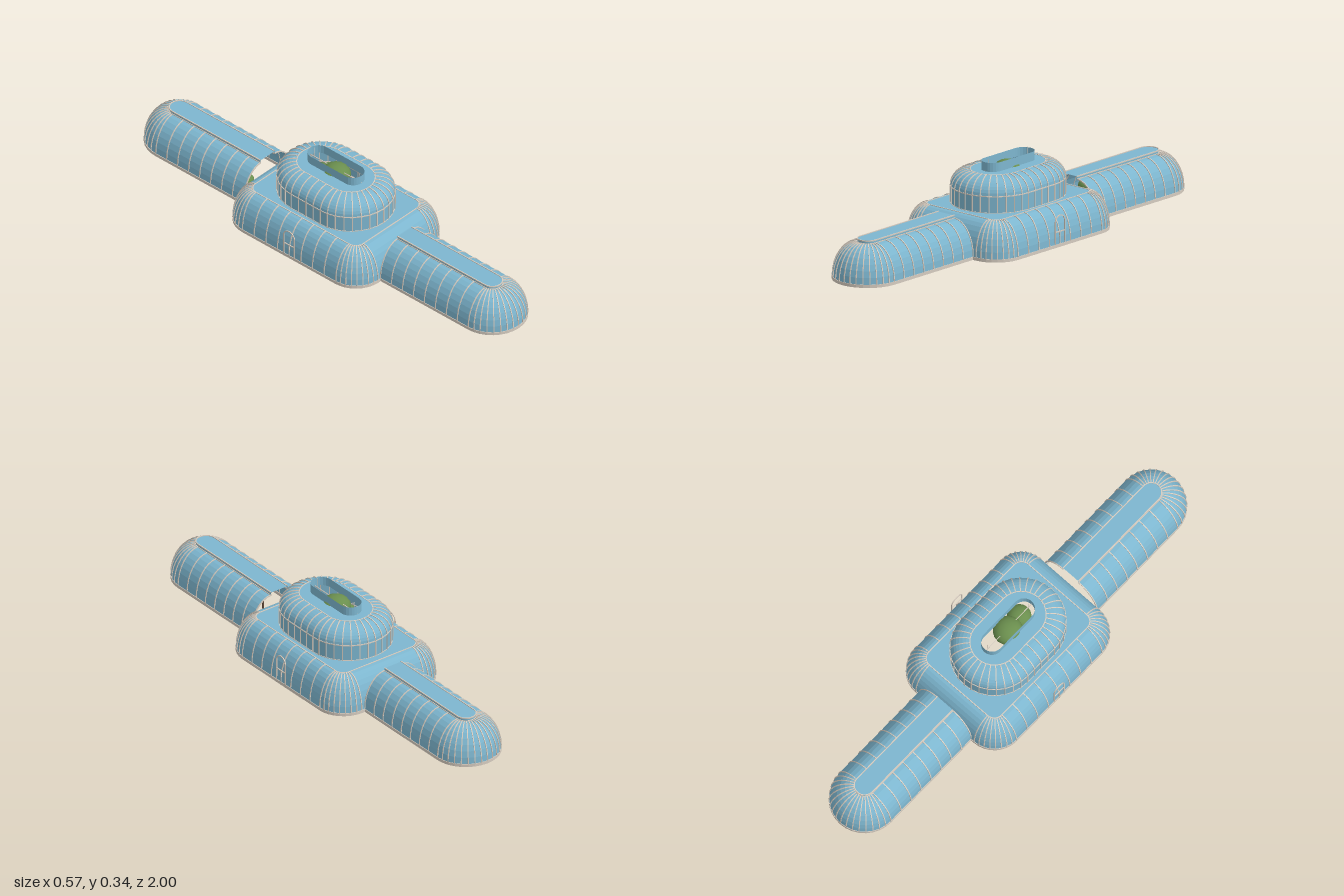
import * as THREE from 'three';
import { mergeGeometries } from 'three/addons/utils/BufferGeometryUtils.js';

const glass = new THREE.MeshStandardMaterial({ color: 0x7db6cf, side: THREE.DoubleSide });
glass.name = 'blue glass';
const frame = new THREE.MeshStandardMaterial({ color: 0xd6ccc0, side: THREE.DoubleSide });
frame.name = 'cream frame';
const leaf = new THREE.MeshStandardMaterial({ color: 0x6b8f4e });
leaf.name = 'leaf green';
const bark = new THREE.MeshStandardMaterial({ color: 0x5e4636 });
bark.name = 'bark brown';

function add(parent, name, geometry, material) {
  const mesh = new THREE.Mesh(geometry, material);
  mesh.name = name;
  parent.add(mesh);
  return mesh;
}

// Stations round a rounded rectangle: position (x, z) and outward direction (nx, nz)
function roundedLoop(hx, hz, r, cornerSegs, baysX, baysZ) {
  const list = [];
  const signs = [[1, 1], [-1, 1], [-1, -1], [1, -1]];
  signs.forEach(([sx, sz], k) => {
    const cx = sx * (hx - r), cz = sz * (hz - r);
    for (let i = 0; i <= cornerSegs; i++) {
      const a = (k + i / cornerSegs) * Math.PI / 2;
      const nx = Math.cos(a), nz = Math.sin(a);
      list.push({ x: cx + r * nx, z: cz + r * nz, nx, nz });
    }
    const length = 2 * (k % 2 ? hz - r : hx - r), bays = k % 2 ? baysZ : baysX;
    const last = list[list.length - 1];
    if (length < 1e-4) list.pop();
    else for (let i = 1; i < bays; i++) {
      const d = length * i / bays;
      list.push({ x: last.x - last.nz * d, z: last.z + last.nx * d, nx: last.nx, nz: last.nz });
    }
  });
  return list;
}

// Stations along a U: straight side, half circle, straight side
function uPath(r, z0, z1, bays, segs) {
  const list = [];
  for (let i = 0; i < bays; i++) list.push({ x: r, z: z0 + (z1 - z0) * i / bays, nx: 1, nz: 0 });
  for (let i = 0; i <= segs; i++) {
    const a = Math.PI * i / segs, nx = Math.cos(a), nz = Math.sin(a);
    list.push({ x: r * nx, z: z1 + r * nz, nx, nz });
  }
  for (let i = bays - 1; i >= 0; i--) list.push({ x: -r, z: z0 + (z1 - z0) * i / bays, nx: -1, nz: 0 });
  return list;
}

// Flat-shaded skin of a profile [inset, y] carried along the stations
function sweep(stations, profile, closed) {
  const pos = [];
  const at = (s, [d, y]) => [s.x - s.nx * d, y, s.z - s.nz * d];
  const n = stations.length;
  for (let i = 0; i < (closed ? n : n - 1); i++) {
    const s = stations[i], t = stations[(i + 1) % n];
    for (let j = 0; j < profile.length - 1; j++) {
      const a = at(s, profile[j]), b = at(t, profile[j]);
      const c = at(t, profile[j + 1]), d = at(s, profile[j + 1]);
      pos.push(...a, ...d, ...c, ...a, ...c, ...b);
    }
  }
  const g = new THREE.BufferGeometry();
  g.setAttribute('position', new THREE.Float32BufferAttribute(pos, 3));
  g.computeVertexNormals();
  return g;
}

// Small rectangular rail running along the stations
const rail = (stations, inset, y, w, h, closed) => sweep(stations,
  [[inset - w / 2, y], [inset - w / 2, y + h], [inset + w / 2, y + h], [inset + w / 2, y], [inset - w / 2, y]], closed);

// One curved glazing bar per station
function ribs(stations, profile, width) {
  const side = (off) => profile.map(([d, y], i) => {
    const p = profile[Math.max(i - 1, 0)], q = profile[Math.min(i + 1, profile.length - 1)];
    const v = new THREE.Vector2(q[1] - p[1], q[0] - p[0]).normalize().multiplyScalar(off);
    return new THREE.Vector2(-d + v.x, y + v.y);
  });
  const shape = new THREE.Shape([...side(0.003), ...side(-0.002).reverse()]);
  const bar = new THREE.ExtrudeGeometry(shape, { depth: width, bevelEnabled: false });
  bar.translate(0, 0, -width / 2);
  return mergeGeometries(stations.map(s =>
    bar.clone().rotateY(-Math.atan2(s.nz, s.nx)).translate(s.x, 0, s.z)));
}

// Flat roof over an inset outline, with an optional opening
function flatRoof(stations, inset, y, hole) {
  const pts = (list, d) => list.map(s => new THREE.Vector2(s.x - s.nx * d, -(s.z - s.nz * d)));
  const shape = new THREE.Shape(pts(stations, inset));
  if (hole) shape.holes.push(new THREE.Path(pts(hole, 0)));
  return new THREE.ShapeGeometry(shape).rotateX(-Math.PI / 2).translate(0, y, 0);
}

// Quarter-ellipse profile
const dome = (inset, y0, y1, n = 8) => Array.from({ length: n + 1 }, (_, i) => {
  const t = i / n * Math.PI / 2;
  return [inset * (1 - Math.cos(t)), y0 + (y1 - y0) * Math.sin(t)];
});

function makeWing() {
  const g = new THREE.Group();
  const path = uPath(0.143, 0.375, 0.855, 8, 16);
  const profile = dome(0.101, 0.013, 0.155);
  add(g, 'wingGlass', sweep(path, profile, false), glass);
  add(g, 'wingRibs', ribs(path, profile, 0.004), frame);
  add(g, 'wingPlinth', rail(path, 0, 0, 0.005, 0.013, false), frame);
  // raised ridge vent
  const ridge = uPath(0.042, 0.375, 0.855, 1, 16);
  add(g, 'ridgeVentSides', sweep(ridge, [[0, 0.153], [0, 0.167]], false), glass);
  add(g, 'ridgeVentRoof', flatRoof(ridge, 0, 0.167), glass);
  add(g, 'ridgeVentRim', rail(ridge, 0, 0.165, 0.004, 0.005, false), frame);
  add(g, 'ridgeFootRail', rail(ridge, 0, 0.153, 0.005, 0.005, false), frame);
  return g;
}

function makeTree(x, z, h, r) {
  const g = new THREE.Group();
  g.name = 'tree';
  add(g, 'trunk', new THREE.CylinderGeometry(r * 0.09, r * 0.13, h, 6).translate(0, h / 2, 0), bark);
  add(g, 'canopy', new THREE.IcosahedronGeometry(r, 2).scale(1, 0.75, 1).translate(0, h, 0), leaf);
  g.position.set(x, 0, z);
  return g;
}

function makeDoor() {
  const g = new THREE.Group();
  const arch = (Shape, r) => new Shape().moveTo(r, 0).lineTo(r, 0.104).absarc(0, 0.104, r, 0, Math.PI, false).lineTo(-r, 0);
  const shape = arch(THREE.Shape, 0.031);
  shape.lineTo(-0.027, 0).lineTo(-0.027, 0.104).absarc(0, 0.104, 0.027, Math.PI, 0, true).lineTo(0.027, 0);
  const opt = { depth: 0.004, bevelEnabled: false, curveSegments: 10 };
  add(g, 'doorArch', new THREE.ExtrudeGeometry(shape, opt), frame);
  add(g, 'doorCrossbar', new THREE.BoxGeometry(0.056, 0.004, 0.004).translate(0, 0.065, 0.002), frame);
  add(g, 'doorPost', new THREE.BoxGeometry(0.003, 0.065, 0.004).translate(0, 0.0325, 0.002), frame);
  return g;
}

export function createModel() {
  const model = new THREE.Group();

  // long wings at front and back
  for (const [name, turn] of [['frontWing', 0], ['backWing', Math.PI]]) {
    const wing = makeWing();
    wing.name = name;
    wing.rotation.y = turn;
    model.add(wing);
  }

  // central hall
  const hall = roundedLoop(0.28, 0.375, 0.12, 8, 1, 8);
  const hallProfile = dome(0.08, 0.013, 0.155);
  const drum = roundedLoop(0.18, 0.26, 0.18, 8, 1, 4);
  add(model, 'hallGlass', sweep(hall, hallProfile, true), glass);
  add(model, 'hallRibs', ribs(hall, hallProfile, 0.004), frame);
  add(model, 'hallPlinth', rail(hall, 0, 0, 0.005, 0.013, true), frame);
  add(model, 'hallTopRail', rail(hall, 0.08, 0.153, 0.004, 0.004, true), frame);
  add(model, 'hallRoof', flatRoof(hall, 0.08, 0.155, drum), glass);

  // upper drum and its dome
  const drumDome = dome(0.08, 0.225, 0.293);
  const drumProfile = [[0, 0.155], ...drumDome];
  const lantern = roundedLoop(0.045, 0.14, 0.045, 6, 1, 1);
  add(model, 'drumGlass', sweep(drum, drumProfile, true), glass);
  add(model, 'drumWallRibs', ribs(drum, [[0, 0.155], [0, 0.225]], 0.004), frame);
  add(model, 'drumDomeRibs', ribs(drum, drumDome, 0.004), frame);
  for (const y of [0.153, 0.223]) add(model, 'drumRail', rail(drum, 0, y, 0.005, 0.004, true), frame);
  add(model, 'drumTopRail', rail(drum, 0.08, 0.291, 0.004, 0.003, true), frame);
  add(model, 'drumRoof', flatRoof(drum, 0.08, 0.293, lantern), glass);

  // open lantern with a tie bar and small finials
  add(model, 'lantern', sweep(lantern, [[0, 0.293], [0, 0.331]], true), glass);
  add(model, 'lanternBar', new THREE.BoxGeometry(0.003, 0.003, 0.28).translate(0, 0.296, 0), frame);
  for (const s of [-1, 1]) {
    add(model, 'finial', new THREE.CylinderGeometry(0.001, 0.0015, 0.045, 6).translate(0, 0.318, s * 0.12), frame);
    // side doors and inner columns
    const door = makeDoor();
    door.name = s > 0 ? 'leftDoor' : 'rightDoor';
    door.rotation.y = s * Math.PI / 2;
    door.position.x = s * 0.279;
    model.add(door);
    add(model, 'column', new THREE.CylinderGeometry(0.012, 0.014, 0.28, 12).translate(0, 0.14, s * 0.2), frame);
  }

  // planting: x, z, canopy height, canopy radius
  const trees = [
    [0, 0, 0.268, 0.062], [0.03, 0.1, 0.18, 0.05], [-0.05, -0.1, 0.18, 0.045],
    [-0.135, 0.22, 0.1, 0.04], [-0.21, 0.2, 0.08, 0.034], [-0.15, -0.085, 0.1, 0.045],
    [-0.2, -0.135, 0.08, 0.036], [-0.17, -0.23, 0.1, 0.042], [0.09, 0.26, 0.1, 0.04],
    [0.17, 0.05, 0.1, 0.04], [0.16, -0.2, 0.1, 0.04],
    [0, -0.48, 0.1, 0.036], [-0.08, -0.42, 0.07, 0.034], [0, -0.67, 0.1, 0.042],
    [-0.08, -0.64, 0.08, 0.034], [0.03, -0.8, 0.1, 0.04],
    [0.03, 0.61, 0.1, 0.04], [0.01, 0.75, 0.1, 0.042], [-0.04, 0.79, 0.09, 0.036],
    [-0.03, 0.52, 0.1, 0.036], [-0.08, 0.63, 0.08, 0.034],
  ];
  for (const t of trees) model.add(makeTree(...t));
  return model;
}
